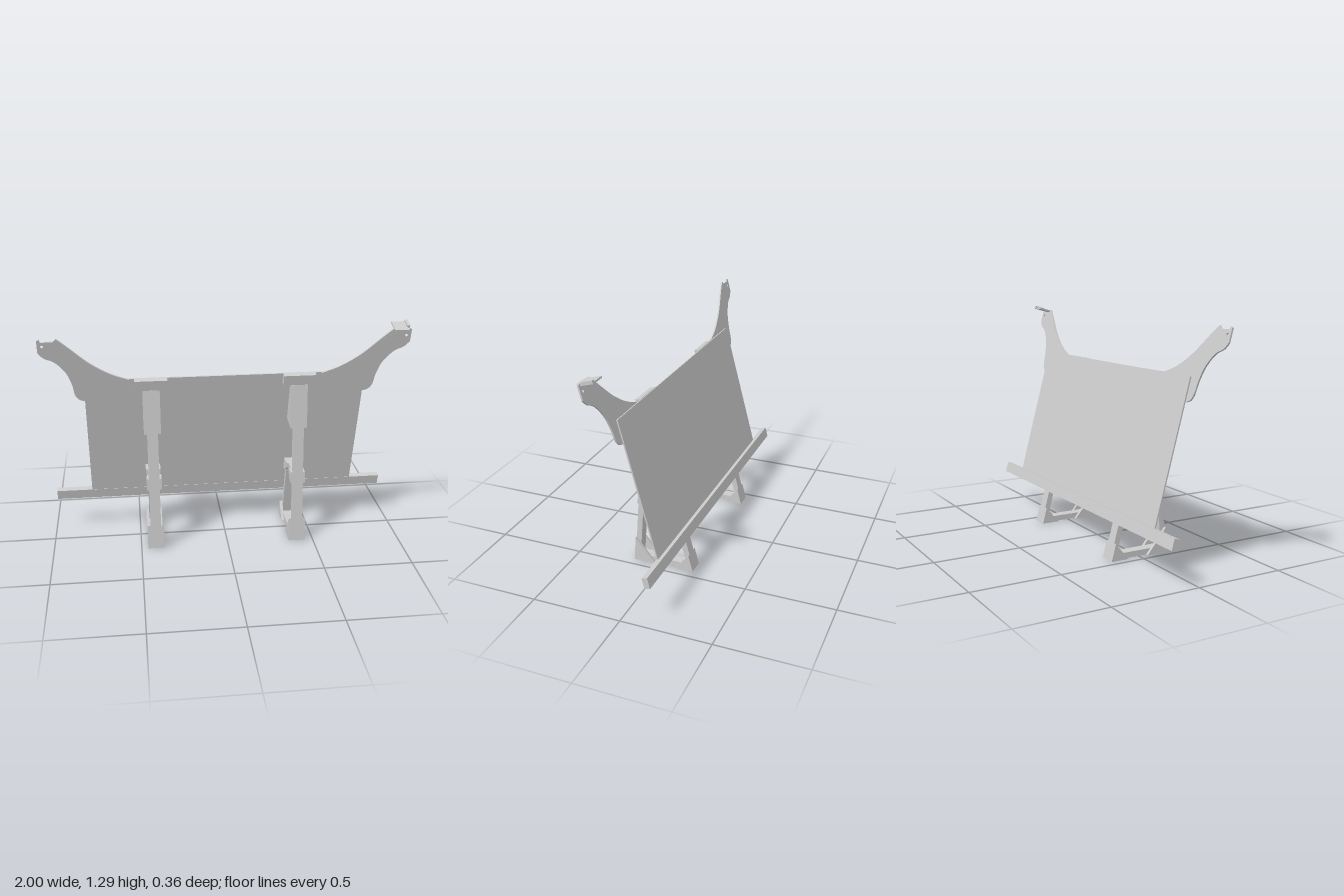
import * as THREE from 'three';

const TILT = Math.PI / 12;
const COS = Math.cos(TILT);

export function createModel() {
  const root = new THREE.Group();
  const mat = new THREE.MeshStandardMaterial({ color: 0xcccccc });

  const add = (parent, name, geometry) => {
    const mesh = new THREE.Mesh(geometry, mat);
    mesh.name = name;
    parent.add(mesh);
    return mesh;
  };

  // box given by its limits on each axis
  const box = (parent, name, [x0, x1], [y0, y1], [z0, z1]) => {
    const g = new THREE.BoxGeometry(x1 - x0, y1 - y0, z1 - z0);
    return add(parent, name, g.translate((x0 + x1) / 2, (y0 + y1) / 2, (z0 + z1) / 2));
  };

  // side outline of [z, y] points, extruded along x around a centre
  const slab = (parent, name, outline, width, x = 0) => {
    const shape = new THREE.Shape(outline.map(([z, y]) => new THREE.Vector2(z, y)));
    const g = new THREE.ExtrudeGeometry(shape, { depth: width, bevelEnabled: false });
    g.translate(0, 0, -width / 2).rotateY(-Math.PI / 2).translate(x, 0, 0);
    return add(parent, name, g);
  };

  // leaning panel: local y runs up the slope, local z points to the legs
  const panel = new THREE.Group();
  panel.name = 'leaningPanel';
  panel.rotation.x = TILT;
  panel.position.z = -0.178;
  root.add(panel);

  box(panel, 'board', [-0.775, 0.775], [0.26, 1.041], [-0.008, 0]);
  box(panel, 'ledge', [-0.98, 0.957], [0.205, 0.266], [-0.03, 0.0015]);

  // curved wing plates, with heights measured vertically
  const p = (x, y) => new THREE.Vector2(x, y / COS);
  const wingShape = (s) => {
    const shape = new THREE.Shape();
    const start = p(s * 0.53, 1.006);
    shape.moveTo(start.x, start.y);
    shape.splineThru([[0.634, 1.048], [0.74, 1.118], [0.848, 1.219], [0.9, 1.266]]
      .map(([x, y]) => p(s * x, y)));
    for (const [x, y] of [[0.917, 1.25], [0.982, 1.25], [0.988, 1.264], [1, 1.26], [1, 1.187]]) {
      const q = p(s * x, y);
      shape.lineTo(q.x, q.y);
    }
    shape.splineThru([[0.97, 1.155], [0.917, 1.128], [0.864, 1.064], [0.837, 0.989],
      [0.826, 0.925], [0.805, 0.893], [0.773, 0.882]].map(([x, y]) => p(s * x, y)));
    const c = p(s * 0.62, 0.89);
    shape.quadraticCurveTo(c.x, c.y, start.x, start.y);
    const h = p(s * 0.975, 1.225);
    shape.holes.push(new THREE.Path().absarc(h.x, h.y, 0.008, 0, Math.PI * 2));
    return shape;
  };
  for (const [s, name] of [[1, 'leftWing'], [-1, 'rightWing']]) {
    add(panel, name, new THREE.ExtrudeGeometry(wingShape(s),
      { depth: 0.009, bevelEnabled: false, curveSegments: 10 }));
  }

  // small shelf on the tip of the left wing
  box(panel, 'tipShelf', [0.905, 0.982], [1.298, 1.307], [-0.073, 0.019]);
  box(panel, 'tipShelfLip', [0.978, 0.994], [1.298, 1.316], [-0.073, -0.012]);

  // two trestle legs
  const line = (y, off = 0) => [-0.178 + Math.tan(TILT) * y + off, y];
  for (const [x, name] of [[0.405, 'leftTrestle'], [-0.415, 'rightTrestle']]) {
    const leg = new THREE.Group();
    leg.name = name;
    leg.position.x = x;
    root.add(leg);

    slab(leg, 'rearPost', [[0.175, 0], [0.107, 0.94], [0.077, 0.94], [0.145, 0]], 0.06);
    slab(leg, 'frontPost', [line(0), line(0, 0.033), line(0.425, 0.033), line(0.425)], 0.06);
    slab(leg, 'footBar', [[0.15, 0], [0.15, 0.032], [-0.145, 0.032], [-0.145, 0]], 0.0598);
    slab(leg, 'crossbar', [[0.13, 0.397], [0.13, 0.4252], [-0.05, 0.4252], [-0.05, 0.397]], 0.0598);

    // gusset plates on both sides of the posts
    for (const s of [-1, 1]) {
      const gx = s * 0.0385;
      slab(leg, 'upperGusset', [[0.107, 0.94], [0.074, 0.945], [0.012, 0.71], [0.125, 0.69]], 0.017, gx);
      slab(leg, 'rearFootGusset', [[0.175, 0], [0.165, 0.14], [0.05, 0]], 0.017, gx);
      slab(leg, 'frontFootGusset', [line(0), line(0.095), [-0.073, 0]], 0.017, gx);
      slab(leg, 'rearCrossbarGusset',
        [[0.145, 0.426], [0.083, 0.426], [0.083, 0.396], [0.115, 0.365], [0.149, 0.36]], 0.012, s * 0.036);
      slab(leg, 'frontCrossbarGusset',
        [line(0.426), line(0.355), [-0.05, 0.355], [0.015, 0.396], [0.015, 0.426]], 0.012, s * 0.036);
    }

    // wide cleat fixed to the top of the board
    const cleat = box(panel, name + 'Cleat', [x - 0.092, x + 0.088], [0.98, 1.043], [0, 0.031]);
    cleat.position.x = 0.002;
  }
  return root;
}
